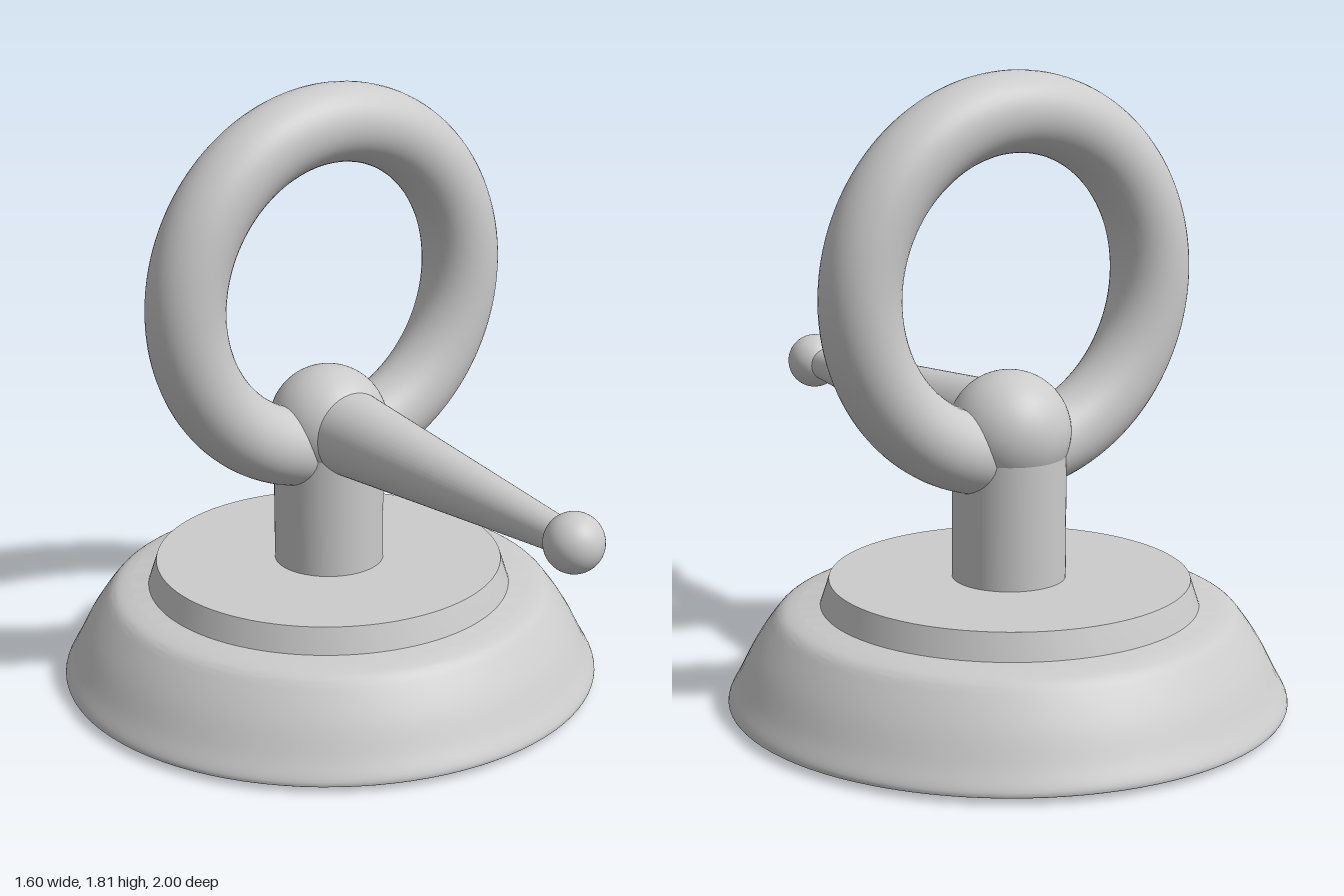
import * as THREE from 'three';
import { toCreasedNormals } from 'three/addons/utils/BufferGeometryUtils.js';

const material = new THREE.MeshStandardMaterial({ color: 0xcccccc });
const SEGMENTS = 96;
const vec = ([x, y]) => new THREE.Vector2(x, y);

function lathe(points) {
  return toCreasedNormals(new THREE.LatheGeometry(points, SEGMENTS), 0.6);
}

export function createModel() {
  const group = new THREE.Group();
  const add = (name, geometry, x, y, z) => {
    const mesh = new THREE.Mesh(geometry, material);
    mesh.name = name;
    mesh.position.set(x, y, z);
    group.add(mesh);
    return mesh;
  };
  const cx = -0.005, cz = -0.197, hubY = 0.796;

  // Flared foot: nearly flat underside, rounded rim, curved flank
  const flank = new THREE.SplineCurve([
    [0.72, 0.007], [0.785, 0.014], [0.8, 0.03], [0.77, 0.088], [0.728, 0.17],
    [0.68, 0.242], [0.645, 0.28], [0.595, 0.297],
  ].map(vec)).getPoints(40);
  add('base', lathe([vec([0, 0]), vec([0.5, 0.003]), ...flank, vec([0, 0.297])]), 0, 0, -0.2);

  // Bevelled plate on top of the foot
  add('basePlate', lathe([[0, 0.28], [0.545, 0.28], [0.54, 0.297], [0.515, 0.373], [0, 0.373]].map(vec)),
    cx, 0, -0.2);

  // Post and its ball-shaped head
  const postHeight = hubY - 0.36;
  add('post', new THREE.CylinderGeometry(0.162, 0.162, postHeight, 64), cx, 0.36 + postHeight / 2, cz);
  add('hub', new THREE.SphereGeometry(0.175, 64, 40), cx, hubY, cz);

  // Upright ring through the hub
  add('ring', new THREE.TorusGeometry(0.483, 0.114, 40, 128), cx, 1.214, cz);

  // Tapered lever pointing forward, ending in a ball
  const leverStart = -0.2, leverEnd = 0.87;
  const lever = add('lever', new THREE.CylinderGeometry(0.047, 0.135, leverEnd - leverStart, 48),
    cx, hubY, (leverStart + leverEnd) / 2);
  lever.rotation.x = Math.PI / 2;
  add('leverBall', new THREE.SphereGeometry(0.083, 48, 32), cx, hubY, 0.917);

  return group;
}
